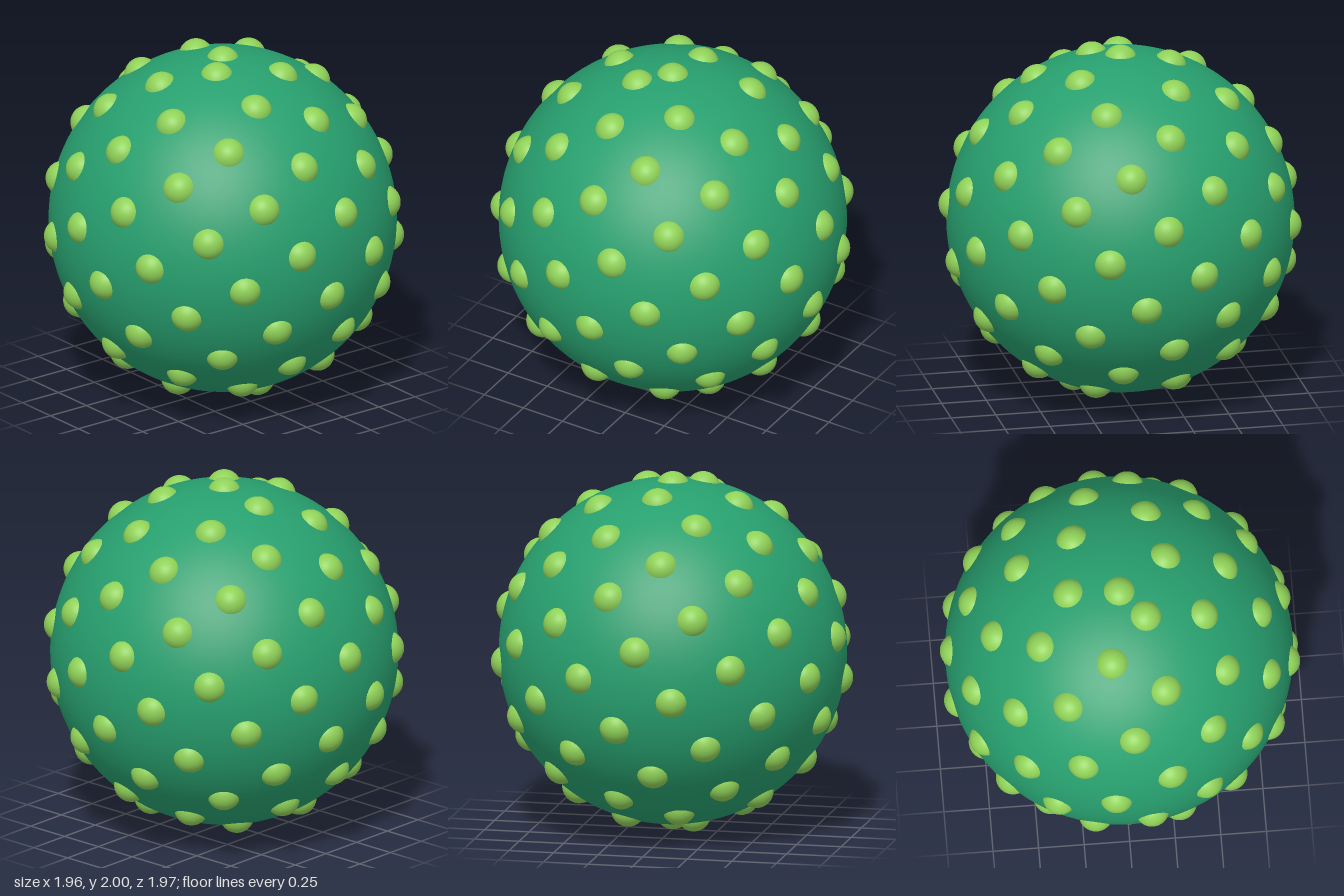
import * as THREE from 'three';

const BODY_RADIUS = 0.953;
const BUMP_RADIUS = 0.095;
const BUMP_COUNT = 90;

export function createModel() {
  const group = new THREE.Group();
  group.name = 'bumpyBall';

  const bodyMaterial = new THREE.MeshStandardMaterial({ color: 0x279f6e });
  bodyMaterial.name = 'deep green';
  const bumpMaterial = new THREE.MeshStandardMaterial({ color: 0x8fd158 });
  bumpMaterial.name = 'light green';

  // Main ball
  const body = new THREE.Mesh(new THREE.SphereGeometry(BODY_RADIUS, 96, 64), bodyMaterial);
  body.name = 'body';
  body.position.y = 1;
  group.add(body);

  // Domes sunk into the surface, spread pole to pole along a golden-angle spiral
  const bumps = new THREE.Group();
  bumps.name = 'bumps';
  bumps.position.y = 1;
  const domeGeometry = new THREE.SphereGeometry(BUMP_RADIUS, 32, 14, 0, Math.PI * 2, 0, Math.PI * 0.42);
  const goldenAngle = Math.PI * (3 - Math.sqrt(5));
  const up = new THREE.Vector3(0, 1, 0);
  for (let i = 0; i < BUMP_COUNT; i++) {
    const y = 1 - (2 * i) / (BUMP_COUNT - 1);
    const r = Math.sqrt(Math.max(0, 1 - y * y));
    const normal = new THREE.Vector3(r * Math.cos(goldenAngle * i), y, r * Math.sin(goldenAngle * i));
    const bump = new THREE.Mesh(domeGeometry, bumpMaterial);
    bump.name = `bump${i + 1}`;
    bump.position.copy(normal).multiplyScalar(1 - BUMP_RADIUS);
    bump.quaternion.setFromUnitVectors(up, normal);
    bumps.add(bump);
  }
  group.add(bumps);

  return group;
}
